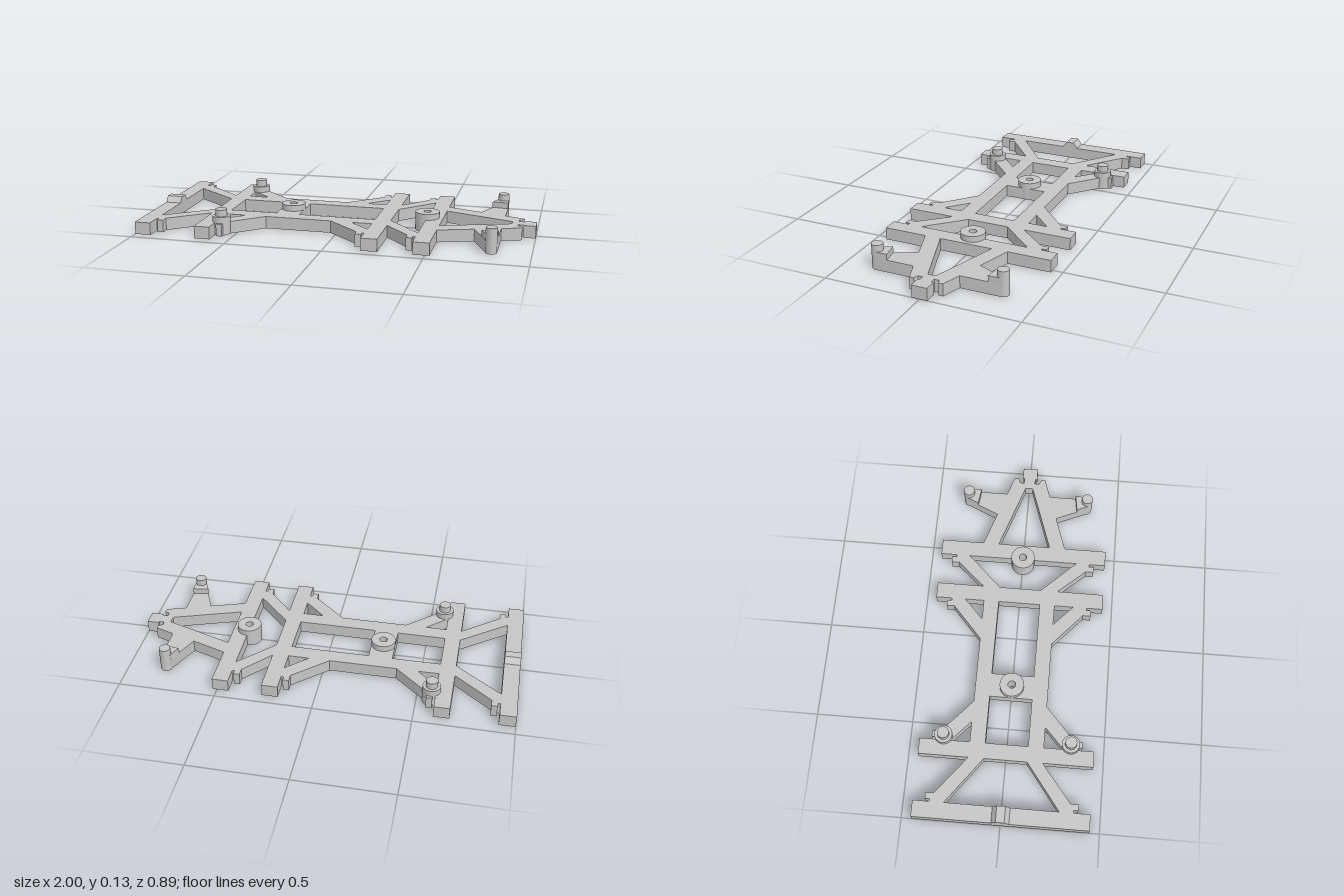
import * as THREE from 'three';
import { toCreasedNormals } from 'three/addons/utils/BufferGeometryUtils.js';

const PLATE = 0.064, RAISED = 0.095, PIN = 0.129;

export function createModel() {
  const group = new THREE.Group();
  const grey = new THREE.MeshStandardMaterial({ color: 0xc5c5c5 });
  grey.name = 'plain grey';

  const add = (name, geometry) => {
    const mesh = new THREE.Mesh(toCreasedNormals(geometry, 0.5), grey);
    mesh.name = name;
    group.add(mesh);
    return mesh;
  };
  // Extrudes a plan drawn in (x, z) between two heights
  const slab = (name, shape, bottom, top) => {
    const g = new THREE.ExtrudeGeometry(shape, { depth: top - bottom, bevelEnabled: false, curveSegments: 16 });
    return add(name, g.rotateX(Math.PI / 2).translate(0, top, 0));
  };
  const vectors = (pts) => pts.map(([x, z]) => new THREE.Vector2(x, z));
  const mirror = (pts) => pts.map(([x, z]) => [x, -z]).reverse();

  // Notched tab beside a cross bar, d = direction along x
  const tab = (x, d) => [
    [x, 0.362], [x + d * 0.013, 0.362], [x + d * 0.013, 0.386],
    [x + d * 0.044, 0.386], [x + d * 0.044, 0.345],
  ];
  // Rounded tip of the outrigger arm
  const tip = [];
  for (let i = 0; i <= 10; i++) {
    const a = Math.PI * (1 - i / 10);
    tip.push([0.804 + 0.029 * Math.cos(a), 0.327 + 0.029 * Math.sin(a)]);
  }

  // Half of the frame outline, mirrored across the centre line
  const half = [
    [-1, 0.447], [-0.917, 0.447], ...tab(-0.917, 1),
    [-0.678, 0.19], [-0.678, 0.447], [-0.597, 0.447], ...tab(-0.597, 1),
    [-0.38, 0.19], [-0.033, 0.19], ...tab(0.184, -1).reverse(),
    [0.184, 0.447], [0.267, 0.447], [0.267, 0.2], ...tab(0.44, -1).reverse(),
    [0.44, 0.447], [0.523, 0.447], [0.523, 0.223], [0.703, 0.163],
    ...tip, [0.833, 0.12], [0.934, 0.086], [0.934, 0.063],
    [0.91, 0.054], [0.91, 0.03], [0.938, 0.03], [0.938, 0.04], [1, 0.04],
  ];
  const frame = new THREE.Shape(vectors([...half, ...mirror(half)]).reverse());

  // Openings that straddle the centre line
  const windows = [
    [[-0.917, 0.29], [-0.678, 0.11]],
    [[-0.597, 0.11], [-0.347, 0.11]],
    [[-0.223, 0.11], [0.184, 0.11]],
    [[0.523, 0.139], [0.877, 0.02]],
  ];
  for (const w of windows) frame.holes.push(new THREE.Path(vectors([...w, ...mirror(w)])));

  // Triangular openings behind the braces
  const triangles = [
    [[-0.597, 0.29], [-0.597, 0.19], [-0.49, 0.19]],
    [[0.184, 0.29], [0.184, 0.19], [0.077, 0.19]],
  ];
  for (const t of triangles) {
    frame.holes.push(new THREE.Path(vectors(t)), new THREE.Path(vectors(mirror(t))));
  }

  // Opening between the paired bars, with half of the screw hole
  const pair = new THREE.Path(vectors([[0.267, 0.11], [0.267, -0.11], [0.44, -0.29], [0.44, -0.02]]));
  pair.absarc(0.44, 0, 0.02, -Math.PI / 2, Math.PI / 2, false);
  pair.lineTo(0.44, 0.29);
  pair.lineTo(0.267, 0.11);
  frame.holes.push(pair);

  const screwHole = new THREE.Path();
  screwHole.absarc(-0.284, 0, 0.02, 0, Math.PI * 2, true);
  frame.holes.push(screwHole);
  slab('frame', frame, 0, PLATE);

  // Screw bosses on the centre line
  for (const x of [-0.284, 0.44]) {
    const ring = new THREE.Shape();
    ring.absarc(x, 0, 0.063, 0, Math.PI * 2, false);
    const bore = new THREE.Path();
    bore.absarc(x, 0, 0.02, 0, Math.PI * 2, true);
    ring.holes.push(bore);
    slab('screwBoss', ring, 0, RAISED);
  }

  const post = (name, x, z, r, bottom, top) =>
    add(name, new THREE.CylinderGeometry(r, r, top - bottom, 32).translate(x, (top + bottom) / 2, z));

  for (const side of [1, -1]) {
    // Stepped locating pins
    post('pinBase', -0.574, side * 0.326, 0.046, 0, RAISED);
    post('pin', -0.574, side * 0.326, 0.03, RAISED, PIN);

    // Outrigger posts with a raised step
    post('armPost', 0.804, side * 0.327, 0.029, 0, PIN);
    const step = [[0.749, 0.274], [0.833, 0.262], [0.833, 0.327], [0.775, 0.332]];
    slab('armStep', new THREE.Shape(vectors(side > 0 ? step : mirror(step))), PLATE, RAISED);
  }

  // Ridge with sloped ends on the end bar
  const ridge = new THREE.Shape(vectors([[-0.045, PLATE], [0.045, PLATE], [0.022, RAISED], [-0.022, RAISED]]));
  const ridgeGeometry = new THREE.ExtrudeGeometry(ridge, { depth: 0.083, bevelEnabled: false });
  add('endRidge', ridgeGeometry.rotateY(Math.PI / 2).translate(-1, 0, 0));

  return group;
}
